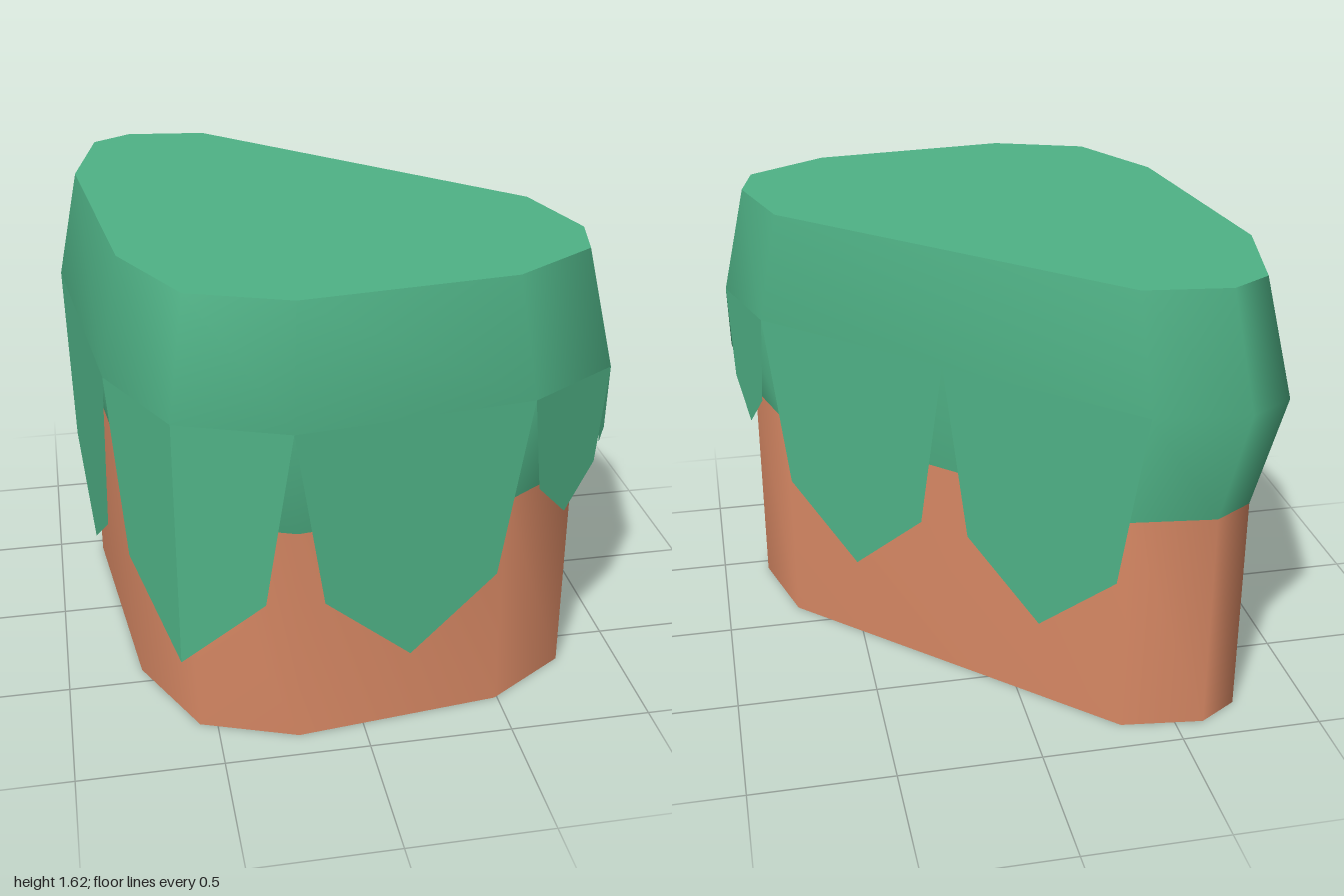
import * as THREE from 'three';

// Rim outline (widest part of the grass) and the smaller block outline, as [x, z]
const RIM = [[-0.66, -1], [-0.34, -0.96], [0.8, 0.13], [0.91, 0.49], [0.86, 0.7], [0.54, 0.9],
  [-0.255, 0.995], [-0.62, 0.86], [-0.805, 0.48], [-0.91, -0.48], [-0.82, -0.9]];
const CORE = [[-0.6, -0.915], [-0.31, -0.88], [0.73, 0.11], [0.825, 0.44], [0.78, 0.635], [0.49, 0.82],
  [-0.23, 0.9], [-0.56, 0.78], [-0.735, 0.43], [-0.83, -0.44], [-0.74, -0.83]];
const RIM_Y = 1.22;

function makeGeometry(points, index) {
  const g = new THREE.BufferGeometry();
  g.setAttribute('position', new THREE.Float32BufferAttribute(points.flat(), 3));
  g.setIndex(index);
  g.computeVertexNormals();
  return g;
}

// Smooth wall through a stack of [outline, y] rings, bottom to top
function wall(rings) {
  const points = [], index = [], n = RIM.length;
  rings.forEach(([outline, y]) => outline.forEach(([x, z]) => points.push([x, y, z])));
  for (let r = 0; r < rings.length - 1; r++) {
    for (let i = 0; i < n; i++) {
      const a = r * n + i, b = r * n + (i + 1) % n;
      index.push(a, a + n, b + n, a, b + n, b);
    }
  }
  return makeGeometry(points, index);
}

// Flat cap over an outline, facing up or down
function cap(outline, y, up) {
  const points = [[0, y, 0], ...outline.map(([x, z]) => [x, y, z])], index = [];
  const n = outline.length;
  for (let i = 0; i < n; i++) {
    const a = 1 + i, b = 1 + (i + 1) % n;
    index.push(0, ...(up ? [b, a] : [a, b]));
  }
  return makeGeometry(points, index);
}

// Hanging grass blade from a to b, its tip under m
function blade(a, m, b, shoulderY, tipY) {
  const at = (p, q, t, y) => [p[0] + (q[0] - p[0]) * t, y, p[1] + (q[1] - p[1]) * t];
  const points = [];
  for (const [p, flip] of [[a, false], [b, true]]) {
    const top = at(p, m, 0, RIM_Y), shoulder = at(p, m, 0.25, shoulderY);
    const tip = at(p, m, 1, tipY), mid = at(p, m, 1, RIM_Y);
    const tris = [[top, mid, shoulder], [shoulder, mid, tip]];
    // a is on the right when seen from outside, so its half winds the other way
    for (const [u, v, w] of tris) points.push(...(flip ? [u, w, v] : [u, v, w]));
  }
  return makeGeometry(points, points.map((_, i) => i));
}

export function createModel() {
  const grass = new THREE.MeshStandardMaterial({ color: 0x4fb286, side: THREE.DoubleSide });
  grass.name = 'grass green';
  const soil = new THREE.MeshStandardMaterial({ color: 0xd78864 });
  soil.name = 'soil brown';

  const model = new THREE.Group();
  model.name = 'grassyCliff';
  const add = (name, geometry, material) => {
    const mesh = new THREE.Mesh(geometry, material);
    mesh.name = name;
    model.add(mesh);
  };

  // Soil block
  add('soilWall', wall([[CORE, 0], [CORE, 0.815]]), soil);
  add('soilBase', cap(CORE, 0, false), soil);

  // Grass cover, bulging at the rim
  add('grassSide', wall([[CORE, 0.81], [RIM, RIM_Y], [CORE, 1.62]]), grass);
  add('grassTop', cap(CORE, 1.62, true), grass);

  // Hanging blades: [start, end, shoulder height, tip height, tip corner]
  const mid = (p, q) => [(p[0] + q[0]) / 2, (p[1] + q[1]) / 2];
  const half = mid(RIM[1], RIM[2]);
  const blades = [
    [RIM[1], half, 0.59, 0.33],
    [half, RIM[2], 0.59, 0.33],
    [RIM[2], RIM[3], 0.88, 0.74],
    [RIM[3], RIM[4], 0.98, 0.88],
    [RIM[4], RIM[5], 0.88, 0.74],
    [RIM[5], RIM[6], 0.59, 0.33],
    [RIM[6], RIM[8], 0.59, 0.33, RIM[7]],
    [RIM[8], RIM[9], 0.59, 0.33],
  ];
  blades.forEach(([a, b, shoulderY, tipY, corner]) =>
    add('grassBlade', blade(a, corner ?? mid(a, b), b, shoulderY, tipY), grass));

  return model;
}
